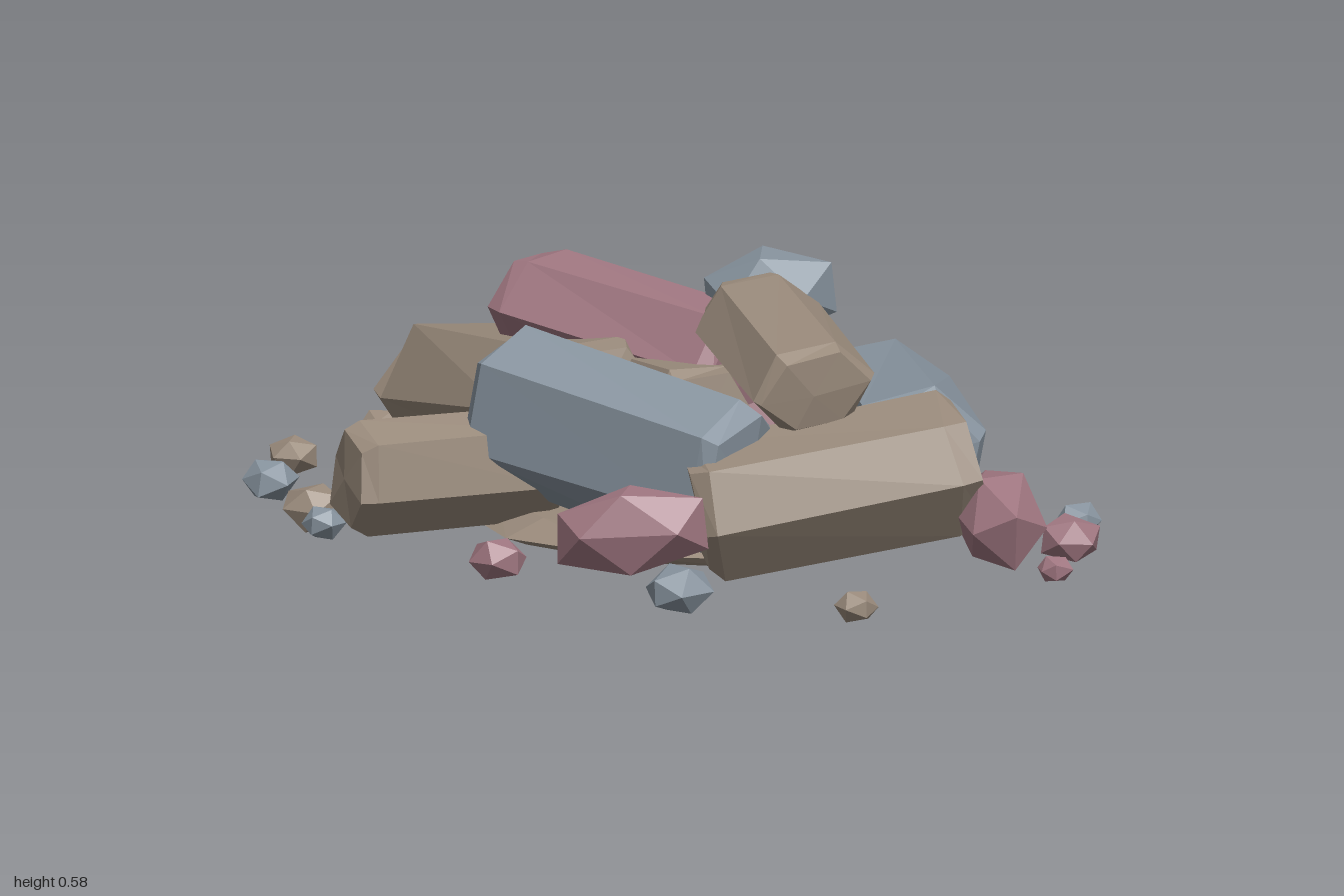
import * as THREE from 'three';

const mat = (color) => new THREE.MeshStandardMaterial({ color, flatShading: true });
const TAN = mat(0x998a7b), BLUE = mat(0x87939e), PINK = mat(0xa07781);

// Repeatable noise in -0.5..0.5 from a position, so shared corners stay joined
function noise(v, seed) {
  const k = Math.round(v.x * 50) * 12.9898 + Math.round(v.y * 50) * 78.233 + Math.round(v.z * 50) * 37.719;
  const s = Math.sin(k + seed * 4.137) * 43758.5453;
  return s - Math.floor(s) - 0.5;
}

function reshape(geo, rule) {
  const p = geo.attributes.position, v = new THREE.Vector3();
  for (let i = 0; i < p.count; i++) {
    v.fromBufferAttribute(p, i);
    rule(v);
    p.setXYZ(i, v.x, v.y, v.z);
  }
  geo.computeVertexNormals();
  return geo;
}

function jitter(v, amount, seed) {
  const o = v.clone();
  v.x += noise(o, seed) * amount;
  v.y += noise(o, seed + 11) * amount;
  v.z += noise(o, seed + 23) * amount;
}

// Places a stone between a and b: its y axis follows the line, its x axis points up, then it rolls
function place(name, geo, material, A, B, roll) {
  const mesh = new THREE.Mesh(geo, material);
  mesh.name = name;
  mesh.position.copy(A).add(B).multiplyScalar(0.5);
  const y = B.clone().sub(A).normalize();
  const z = new THREE.Vector3().crossVectors(y, new THREE.Vector3(0, 1, 0)).normalize();
  const x = new THREE.Vector3().crossVectors(y, z);
  mesh.quaternion.setFromRotationMatrix(new THREE.Matrix4().makeBasis(x, y, z));
  mesh.rotateY(roll);
  return mesh;
}

// Six-sided stone slab with chipped ends; skew slants the end at a
function slab(name, material, a, b, height, width, seed, roll = 0, skew = 0) {
  const A = new THREE.Vector3(...a), B = new THREE.Vector3(...b);
  const len = A.distanceTo(B);
  const geo = reshape(new THREE.CylinderGeometry(1, 1, 1, 6, 3), (v) => {
    const end = Math.abs(v.y) > 0.4;
    const slant = v.y < 0 ? skew * v.z : 0;
    const y = (end ? 0.5 : 0.43) * Math.sign(v.y);
    jitter(v, 0.13, seed);
    const s = end ? 0.87 : 1;
    v.set(v.x * s * height * 0.57, (y + noise(v, seed) * 0.05) * len + slant, v.z * s * width * 0.5);
  });
  return place(name, geo, material, A, B, roll);
}

// Faceted boulder or pebble stretched along a to b
function boulder(name, material, a, b, height, width, seed) {
  const A = new THREE.Vector3(...a), B = new THREE.Vector3(...b);
  const len = A.distanceTo(B);
  const geo = reshape(new THREE.IcosahedronGeometry(1, 0), (v) => {
    jitter(v, 0.15, seed);
    v.set(v.x * height * 0.57, v.y * len * 0.57, v.z * width * 0.57);
  });
  return place(name, geo, material, A, B, 0);
}

export function createModel() {
  const g = new THREE.Group();
  g.name = 'rockPile';

  // Low ground slab, slightly bulged underneath
  const base = new THREE.Mesh(
    new THREE.LatheGeometry(
      [[0, 0], [0.28, 0.01], [0.45, 0.035], [0.49, 0.055], [0.4, 0.085], [0, 0.1]]
        .map(([x, y]) => new THREE.Vector2(x, y)), 11),
    TAN);
  reshape(base.geometry, (v) => {
    const n = noise(new THREE.Vector3(v.x, 0, v.z), 3) * 0.08;
    v.x *= 1.06 + n;
    v.z = v.z * (0.94 + n) - 0.035;
  });
  base.name = 'groundSlab';
  g.add(base);

  // Large stacked slabs
  g.add(
    slab('leftSlab', TAN, [-0.69, 0.2, 0.04], [-0.03, 0.29, 0.17], 0.26, 0.36, 1, 0, -0.05),
    slab('coreSlab', TAN, [-0.45, 0.23, -0.07], [0.2, 0.27, 0.07], 0.25, 0.27, 2),
    slab('rightSlab', TAN, [0.41, 0.16, 0.26], [0.69, 0.26, -0.23], 0.25, 0.3, 3, 0.2),
    slab('frontSlab', TAN, [-0.19, 0.18, 0.69], [-0.07, 0.18, 0.25], 0.21, 0.21, 4, 0.35),
    slab('frontBlueSlab', BLUE, [-0.15, 0.3, 0.33], [0.46, 0.21, 0.15], 0.32, 0.31, 5, 0.4),
    slab('backBlueSlab', BLUE, [0.08, 0.24, -0.46], [0.59, 0.24, -0.19], 0.26, 0.29, 6, 0.3),
    slab('topPinkSlab', PINK, [-0.43, 0.43, 0.05], [0.13, 0.37, -0.09], 0.2, 0.25, 7),
    slab('topTanSlab', TAN, [0.09, 0.47, -0.13], [0.54, 0.4, 0.04], 0.17, 0.26, 8, 0.15),
  );

  // Boulders
  g.add(
    boulder('topBlueBoulder', BLUE, [-0.03, 0.47, -0.11], [0.15, 0.51, -0.3], 0.18, 0.18, 9),
    boulder('backPinkBoulder', PINK, [-0.46, 0.19, -0.28], [-0.04, 0.19, -0.3], 0.22, 0.26, 10),
    boulder('frontPinkBoulder', PINK, [0.32, 0.13, 0.54], [0.55, 0.17, 0.32], 0.17, 0.15, 11),
    boulder('rightPinkBoulder', PINK, [0.65, 0.17, -0.3], [0.94, 0.13, -0.17], 0.18, 0.17, 12),
    boulder('leftBlueBoulder', BLUE, [-0.83, 0.13, -0.12], [-0.54, 0.15, -0.31], 0.16, 0.17, 13),
  );

  // Scattered pebbles: material, x, z, radius
  const pebbles = [
    [TAN, -0.01, -0.65, 0.056], [PINK, -0.58, -0.55, 0.05], [BLUE, 0.59, -0.59, 0.045],
    [PINK, 0.75, -0.45, 0.06], [PINK, 0.91, -0.29, 0.035], [BLUE, -0.87, -0.27, 0.032],
    [TAN, -0.95, 0.03, 0.048], [TAN, -0.85, 0.33, 0.048], [BLUE, -0.69, 0.51, 0.055],
    [TAN, -0.42, 0.6, 0.06], [BLUE, -0.32, 0.65, 0.042], [PINK, 0.19, 0.59, 0.055],
    [BLUE, 0.66, 0.48, 0.065], [TAN, 0.955, 0.25, 0.042],
  ];
  pebbles.forEach(([m, x, z, r], i) => {
    const t = i * 1.7, dx = Math.cos(t) * r, dz = Math.sin(t) * r, y = 0.04 + r * 0.5;
    g.add(boulder('pebble' + (i + 1), m, [x - dx, y, z - dz], [x + dx, y, z + dz], r * 1.5, r * 1.9, 20 + i));
  });
  return g;
}
